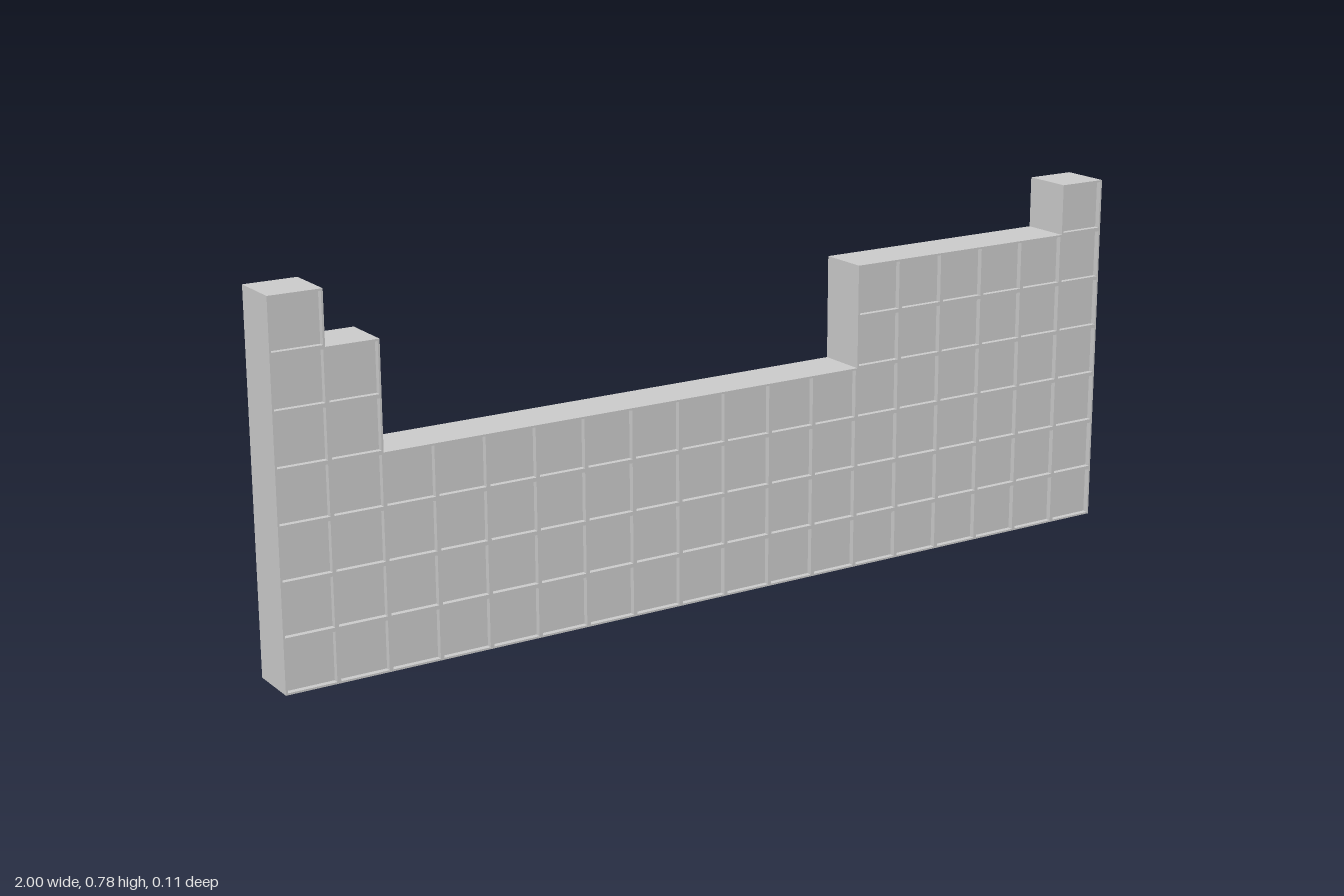
import * as THREE from 'three';

const CELL = 2 / 18;      // 18 columns across two units
const DEPTH = 0.11;
const RECESS = 0.012;     // depth of each cell pocket
const RIM = 0.004;        // half the width of a divider

// number of stacked cells in each column, from -x to +x
const columns = [7, 6, ...Array(10).fill(4), ...Array(5).fill(6), 7];

// stepped outline, counter-clockwise
function outline() {
  const shape = new THREE.Shape();
  shape.moveTo(-1, 0);
  shape.lineTo(1, 0);
  for (let i = columns.length - 1; i >= 0; i--) {
    const y = columns[i] * CELL;
    if (columns[i + 1] !== columns[i]) shape.lineTo(-1 + (i + 1) * CELL, y);
    if (columns[i - 1] !== columns[i]) shape.lineTo(-1 + i * CELL, y);
  }
  shape.closePath();
  return shape;
}

function cellHole(col, row) {
  const x0 = -1 + col * CELL + RIM, x1 = -1 + (col + 1) * CELL - RIM;
  const y0 = row * CELL + RIM, y1 = (row + 1) * CELL - RIM;
  const hole = new THREE.Path();
  hole.moveTo(x0, y0);
  hole.lineTo(x0, y1);
  hole.lineTo(x1, y1);
  hole.lineTo(x1, y0);
  hole.closePath();
  return hole;
}

export function createModel() {
  const group = new THREE.Group();
  group.name = 'steppedCellPanel';
  const material = new THREE.MeshStandardMaterial({ color: 0xcccccc });

  function addPlate(name, shape, depth, z) {
    const geometry = new THREE.ExtrudeGeometry(shape, { depth, bevelEnabled: false });
    const mesh = new THREE.Mesh(geometry, material);
    mesh.name = name;
    mesh.position.z = z;
    group.add(mesh);
  }

  // solid slab: its front is the floor of the pockets
  addPlate('backSlab', outline(), DEPTH - RECESS, -DEPTH / 2);

  // thin lattice in front, one opening per cell
  const frame = outline();
  columns.forEach((count, col) => {
    for (let row = 0; row < count; row++) frame.holes.push(cellHole(col, row));
  });
  addPlate('cellFrame', frame, RECESS, DEPTH / 2 - RECESS);

  return group;
}
